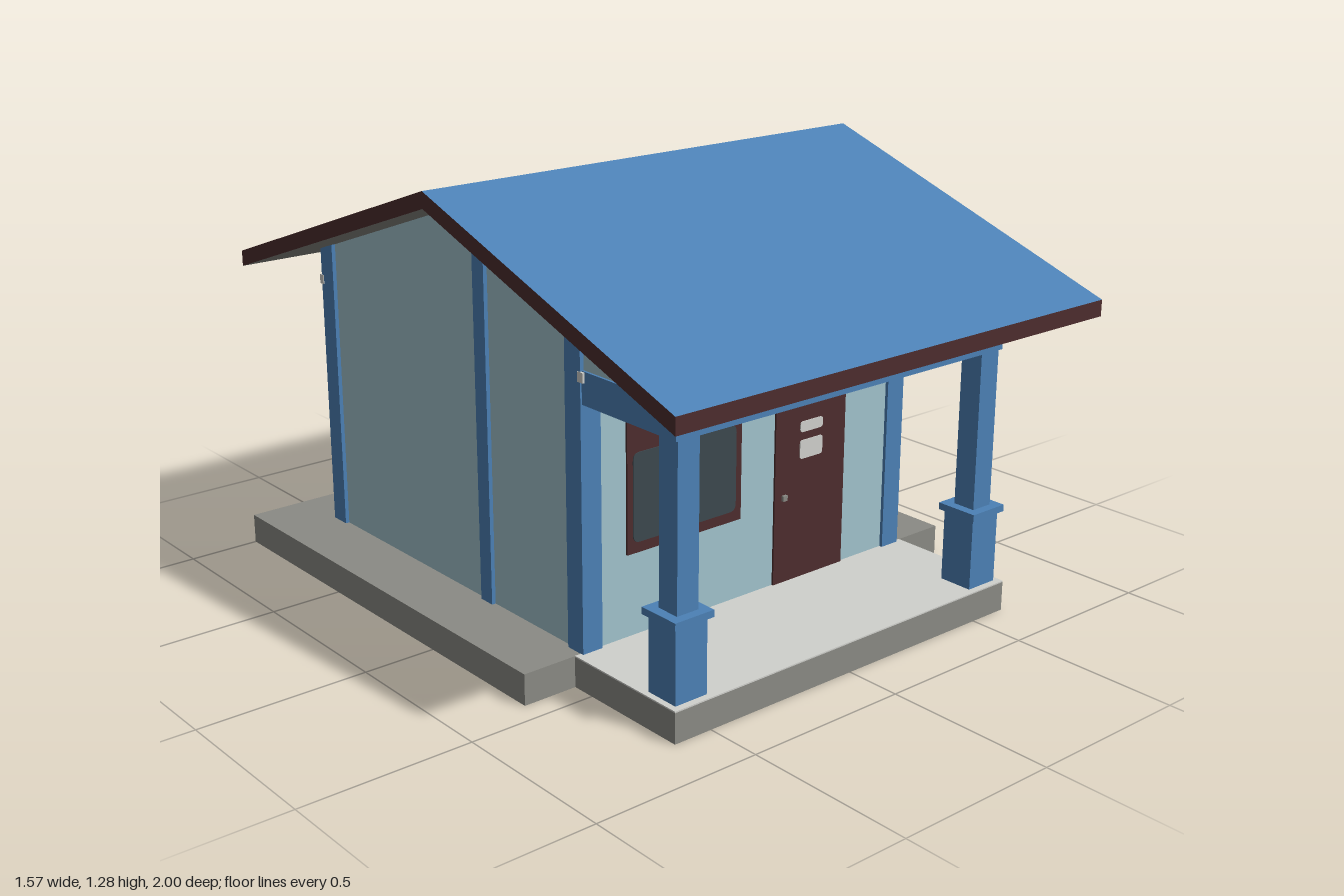
import * as THREE from 'three';

const mat = (name, color, side = THREE.FrontSide) => {
  const m = new THREE.MeshStandardMaterial({ color, side });
  m.name = name;
  return m;
};

// Height of the roof underside at depth z
const SLOPE = 0.347;
const under = (z) => 1.24 - SLOPE * Math.abs(z);

export function createModel() {
  const house = new THREE.Group();
  house.name = 'house';
  const blue = mat('roofBlue', 0x4c81b6);
  const wall = mat('wallPaleBlue', 0xa2c3cd);
  const brown = mat('darkBrown', 0x4d2d2e);
  const grey = mat('concreteGrey', 0x8b8b85);
  const pale = mat('paleTile', 0xd0d1cd);
  const glass = mat('darkGlass', 0x3d494f);

  const add = (name, geometry, material, parent = house) => {
    const mesh = new THREE.Mesh(geometry, material);
    mesh.name = name;
    parent.add(mesh);
    return mesh;
  };
  // Box given by its limits on each axis
  const box = (name, material, x0, x1, y0, y1, z0, z1, parent) => {
    const g = new THREE.BoxGeometry(x1 - x0, y1 - y0, z1 - z0);
    g.translate((x0 + x1) / 2, (y0 + y1) / 2, (z0 + z1) / 2);
    return add(name, g, material, parent);
  };
  // Side profile that reaches up to the roof, extruded from x0 to x1
  const underRoof = (name, material, x0, x1, y0, z0, z1) => {
    const s = new THREE.Shape();
    s.moveTo(z0, y0);
    s.lineTo(z1, y0);
    s.lineTo(z1, under(z1));
    if (z0 < 0 && z1 > 0) s.lineTo(0, under(0));
    s.lineTo(z0, under(z0));
    const g = new THREE.ExtrudeGeometry(s, { depth: x1 - x0, bevelEnabled: false });
    g.rotateY(-Math.PI / 2);
    g.translate(x1, 0, 0);
    return add(name, g, material);
  };
  // Thin plate with rounded corners, facing +z
  const roundedPlate = (name, material, cx, cy, w, h, r, z, parent, notch = 0) => {
    const s = new THREE.Shape();
    const a = w / 2, b = h / 2;
    s.moveTo(-a + r, -b);
    if (notch) s.quadraticCurveTo(0, -b + notch, a - r, -b);
    else s.lineTo(a - r, -b);
    s.quadraticCurveTo(a, -b, a, -b + r);
    if (notch) s.quadraticCurveTo(a - notch, 0, a, b - r);
    else s.lineTo(a, b - r);
    s.quadraticCurveTo(a, b, a - r, b);
    if (notch) s.quadraticCurveTo(0, b - notch, -a + r, b);
    else s.lineTo(-a + r, b);
    s.quadraticCurveTo(-a, b, -a, b - r);
    if (notch) s.quadraticCurveTo(-a + notch, 0, -a, -b + r);
    else s.lineTo(-a, -b + r);
    s.quadraticCurveTo(-a, -b, -a + r, -b);
    const g = new THREE.ExtrudeGeometry(s, { depth: 0.003, bevelEnabled: false, curveSegments: 5 });
    return add(name, g.translate(cx, cy, z), material, parent);
  };

  // Foundation and tiled porch
  box('foundation', grey, -0.785, 0.785, 0, 0.09, -1, 0.43);
  box('porchBase', grey, -0.62, 0.62, 0, 0.087, 0.43, 0.835);
  box('porchFloor', pale, -0.62, 0.62, 0.087, 0.091, 0.43, 0.835);

  // Gabled house body
  underRoof('walls', wall, -0.588, 0.588, 0.09, -0.808, 0.43);

  // Two roof slopes: blue on top, grey below, brown edges
  for (const side of [1, -1]) {
    const g = new THREE.BoxGeometry(1.53, 0.047, 1);
    g.translate(0, 0, side * 0.5);
    const p = g.attributes.position;
    for (let i = 0; i < p.count; i++) {
      p.setY(i, p.getY(i) + 1.2615 - SLOPE * Math.abs(p.getZ(i)));
    }
    g.computeVertexNormals();
    add(side > 0 ? 'frontRoof' : 'backRoof', g, [brown, brown, blue, grey, brown, brown]);
  }

  // Wall posts, porch gables, side beams and porch columns, mirrored
  for (const s of [1, -1]) {
    const span = (a, b) => (s > 0 ? [a, b] : [-b, -a]);
    const post = span(0.535, 0.6);
    underRoof('frontCornerPost', blue, ...post, 0.09, 0.375, 0.44);
    underRoof('backCornerPost', blue, ...post, 0.09, -0.82, -0.755);
    underRoof('middlePost', blue, ...span(0.57, 0.6), 0.09, -0.026, 0.026);
    underRoof('porchGable', wall, ...span(0.56, 0.588), 0.87, 0.43, 0.803);
    box('sideBeam', blue, ...span(0.525, 0.595), 0.785, 0.875, 0.43, 0.735);

    const column = new THREE.Group();
    column.name = 'porchColumn';
    house.add(column);
    box('columnBase', blue, ...span(0.498, 0.602), 0.09, 0.305, 0.71, 0.815, column);
    box('columnCap', blue, ...span(0.486, 0.614), 0.305, 0.325, 0.698, 0.827, column);
    box('columnShaft', blue, ...span(0.515, 0.585), 0.325, 0.79, 0.73, 0.8, column);
  }
  box('frontBeam', blue, -0.595, 0.595, 0.785, 0.875, 0.735, 0.805);
  underRoof('porchFrontWall', wall, -0.56, 0.56, 0.87, 0.775, 0.803);

  // Pale rails across the front and back walls
  box('frontRail', pale, -0.602, 0.602, 0.845, 0.873, 0.43, 0.452);
  box('backRail', pale, -0.602, 0.602, 0.845, 0.873, -0.828, -0.808);

  // Front window with two panes
  const frontWindow = new THREE.Group();
  frontWindow.name = 'frontWindow';
  house.add(frontWindow);
  box('windowFrame', brown, -0.445, -0.04, 0.33, 0.772, 0.428, 0.436, frontWindow);
  for (const x of [-0.345, -0.143]) {
    roundedPlate('windowPane', glass, x, 0.487, 0.163, 0.253, 0.022, 0.4355, frontWindow);
  }

  // Back window with three scalloped panes, turned to face the back
  const backWindow = new THREE.Group();
  backWindow.name = 'backWindow';
  backWindow.rotation.y = Math.PI;
  house.add(backWindow);
  box('windowFrame', brown, -0.33, 0.33, 0.33, 0.772, 0.806, 0.814, backWindow);
  for (const x of [-0.22, 0, 0.22]) {
    roundedPlate('windowPane', grey, x, 0.487, 0.15, 0.25, 0.03, 0.8135, backWindow, 0.02);
  }

  // Door with vents, notice plates and knob
  const door = new THREE.Group();
  door.name = 'door';
  house.add(door);
  box('doorPanel', brown, 0.09, 0.363, 0.09, 0.772, 0.428, 0.436, door);
  for (const y of [0.647, 0.717]) {
    box('doorVent', glass, 0.115, 0.337, y - 0.004, y + 0.004, 0.435, 0.438, door);
  }
  roundedPlate('upperPlate', pale, 0.227, 0.549, 0.088, 0.032, 0.01, 0.4355, door);
  roundedPlate('lowerPlate', pale, 0.227, 0.481, 0.088, 0.056, 0.01, 0.4355, door);
  box('doorKnob', grey, 0.116, 0.132, 0.343, 0.359, 0.435, 0.445, door);

  // Wall unit beside the door
  const unit = new THREE.Group();
  unit.name = 'wallUnit';
  house.add(unit);
  box('unitBody', brown, 0.365, 0.533, 0.725, 0.784, 0.43, 0.457, unit);
  box('unitFace', grey, 0.388, 0.533, 0.732, 0.78, 0.456, 0.459, unit);
  box('unitEnd', glass, 0.365, 0.388, 0.732, 0.78, 0.456, 0.459, unit);
  box('unitSlot', glass, 0.405, 0.515, 0.757, 0.763, 0.458, 0.461, unit);

  return house;
}
